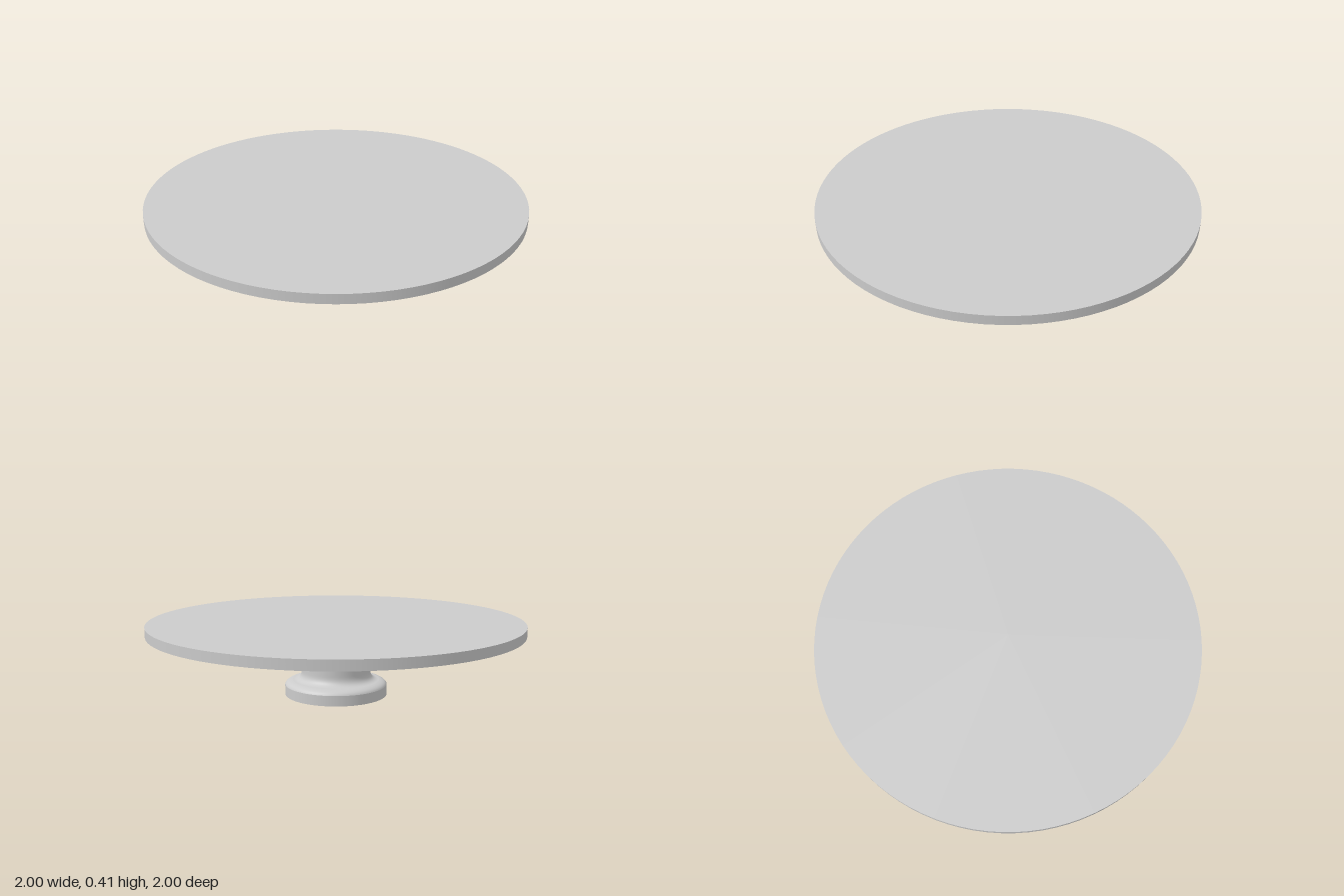
import * as THREE from 'three';

const SEGMENTS = 96;

export function createModel() {
  const model = new THREE.Group();
  const solid = new THREE.MeshStandardMaterial({ color: 0xcccccc });
  const shell = new THREE.MeshStandardMaterial({ color: 0xcccccc, side: THREE.DoubleSide });

  const add = (name, geometry, material, parent) => {
    const mesh = new THREE.Mesh(geometry, material);
    mesh.name = name;
    parent.add(mesh);
    return mesh;
  };

  // Flat round top
  add('plate', new THREE.CylinderGeometry(1, 1, 0.05, SEGMENTS), solid, model).position.y = 0.38;

  // Hollow pedestal, open underneath; separate profiles keep the creases sharp
  const pedestal = new THREE.Group();
  pedestal.name = 'pedestal';
  model.add(pedestal);

  const v = (x, y) => new THREE.Vector2(x, y);
  const shoulder = new THREE.QuadraticBezierCurve(v(0.277, 0.055), v(0.27, 0.074), v(0.235, 0.08));
  const fillet = new THREE.QuadraticBezierCurve(v(0.235, 0.08), v(0.187, 0.083), v(0.187, 0.13));
  const profiles = {
    footRim: [v(0.277, 0), v(0.277, 0.055)],
    footShoulder: shoulder.getPoints(8),
    column: [...fillet.getPoints(10), v(0.187, 0.14), v(0.187, 0.355)],
  };
  for (const [name, points] of Object.entries(profiles)) {
    add(name, new THREE.LatheGeometry(points, SEGMENTS), shell, pedestal);
  }

  return model;
}
